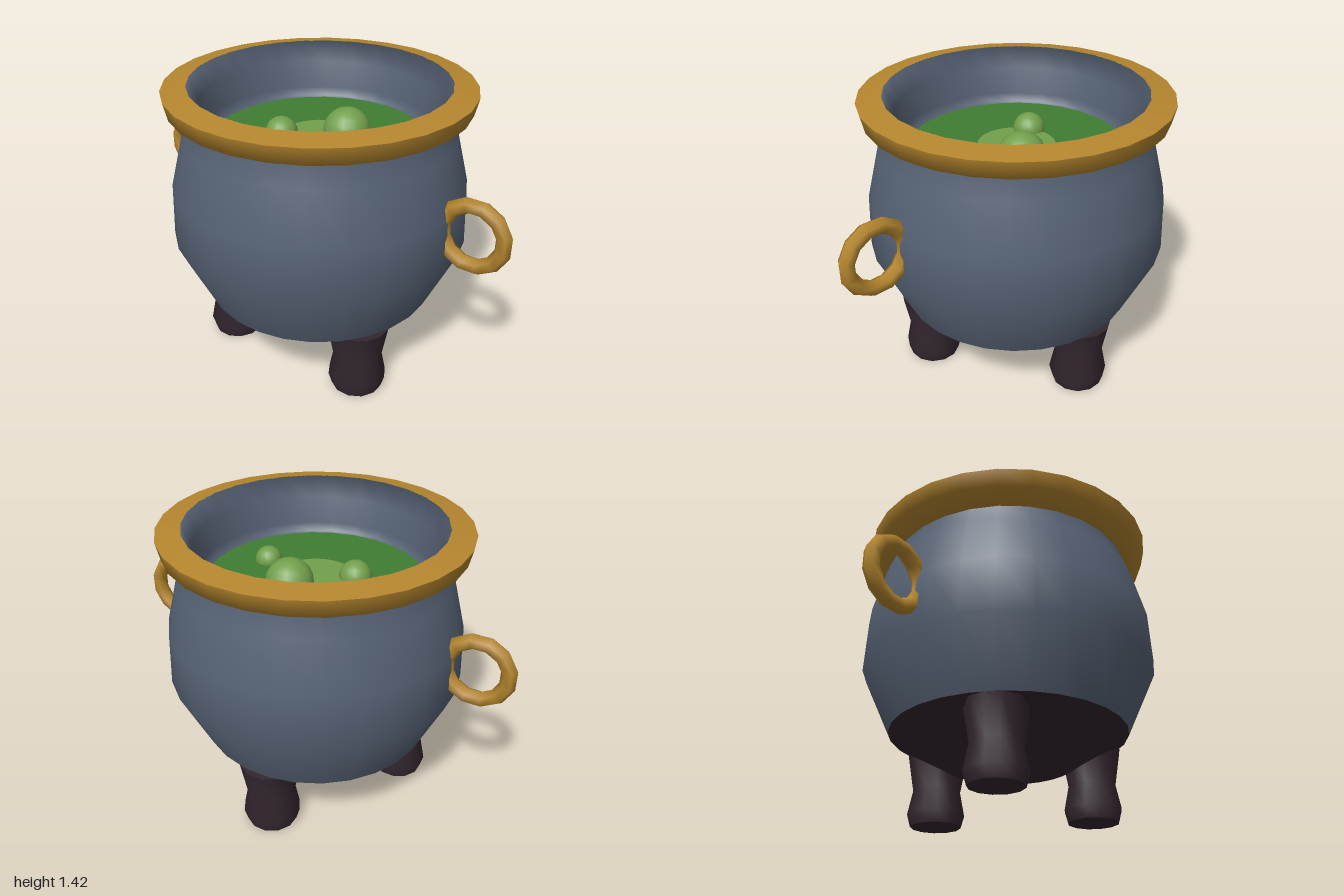
import * as THREE from 'three';
import { toCreasedNormals } from 'three/addons/utils/BufferGeometryUtils.js';

const SIDES = 28;

function material(name, color) {
  const m = new THREE.MeshStandardMaterial({ color });
  m.name = name;
  return m;
}

// Turned shape from [radius, height] pairs, listed bottom to top on the outside
function turned(profile, sides = SIDES) {
  const points = profile.map(([r, y]) => new THREE.Vector2(r, y));
  return new THREE.LatheGeometry(points, sides, Math.PI / sides);
}

export function createModel() {
  const model = new THREE.Group();
  model.name = 'cauldron';

  const slate = material('slate', 0x566274);
  const gold = material('gold', 0xb5862e);
  const dark = material('darkIron', 0x33262f);
  const green = material('brewGreen', 0x3f7d33);
  const lightGreen = material('lightGreen', 0x72a04c);

  function add(name, geometry, mat, x = 0, y = 0, z = 0) {
    const mesh = new THREE.Mesh(geometry, mat);
    mesh.name = name;
    mesh.position.set(x, y, z);
    model.add(mesh);
    return mesh;
  }

  // Pot wall: outside up to the lip, then down the inside to the brew
  add('pot', turned([
    [0.577, 0.37], [0.72, 0.68], [0.708, 0.94], [0.646, 1.18], [0.605, 1.29],
    [0.608, 1.423], [0.57, 1.32], [0.545, 1.19], [0.535, 1.15], [0.5, 1.13],
  ]), slate);

  // Dark underside
  add('base', toCreasedNormals(turned([[0, 0.235], [0.32, 0.235], [0.577, 0.37]]), 0.6), dark);

  // Flared rim
  add('rim', toCreasedNormals(turned([
    [0.59, 1.288], [0.61, 1.288], [0.704, 1.325], [0.722, 1.405], [0.606, 1.423],
  ]), 1.1), gold);

  // Ring handles
  for (const [name, side] of [['leftHandle', 1], ['rightHandle', -1]]) {
    const ring = new THREE.TorusGeometry(0.148, 0.038, 6, 12);
    ring.rotateZ(Math.PI / 12);
    add(name, ring, gold, side * 0.82, 0.88, 0);
  }

  // Three stubby legs, one at the back and two at the front
  const legShape = toCreasedNormals(turned([
    [0, 0], [0.125, 0], [0.142, 0.06], [0.118, 0.18], [0.15, 0.36], [0, 0.37],
  ], 12), 0.9);
  ['backLeg', 'frontLeftLeg', 'frontRightLeg'].forEach((name, i) => {
    const a = Math.PI + (i * Math.PI * 2) / 3;
    const leg = add(name, legShape, dark, -Math.sin(a) * 0.45, 0, Math.cos(a) * 0.45);
    leg.rotation.y = -a;
  });

  // Brew surface with a paler patch in the middle
  add('brew', new THREE.CircleGeometry(0.525, SIDES).rotateX(-Math.PI / 2), green, 0, 1.143, 0);
  add('brewPatch', new THREE.CircleGeometry(0.185, SIDES).rotateX(-Math.PI / 2), lightGreen, 0, 1.149, 0);

  // Bubbles
  const bubbles = [[0.075, -0.115, 0.115], [-0.165, 0.085, 0.078], [0.29, 0.047, 0.065]];
  bubbles.forEach(([x, z, r], i) => {
    add('bubble' + (i + 1), new THREE.SphereGeometry(r, 16, 12), lightGreen, x, 1.15, z);
  });

  return model;
}
